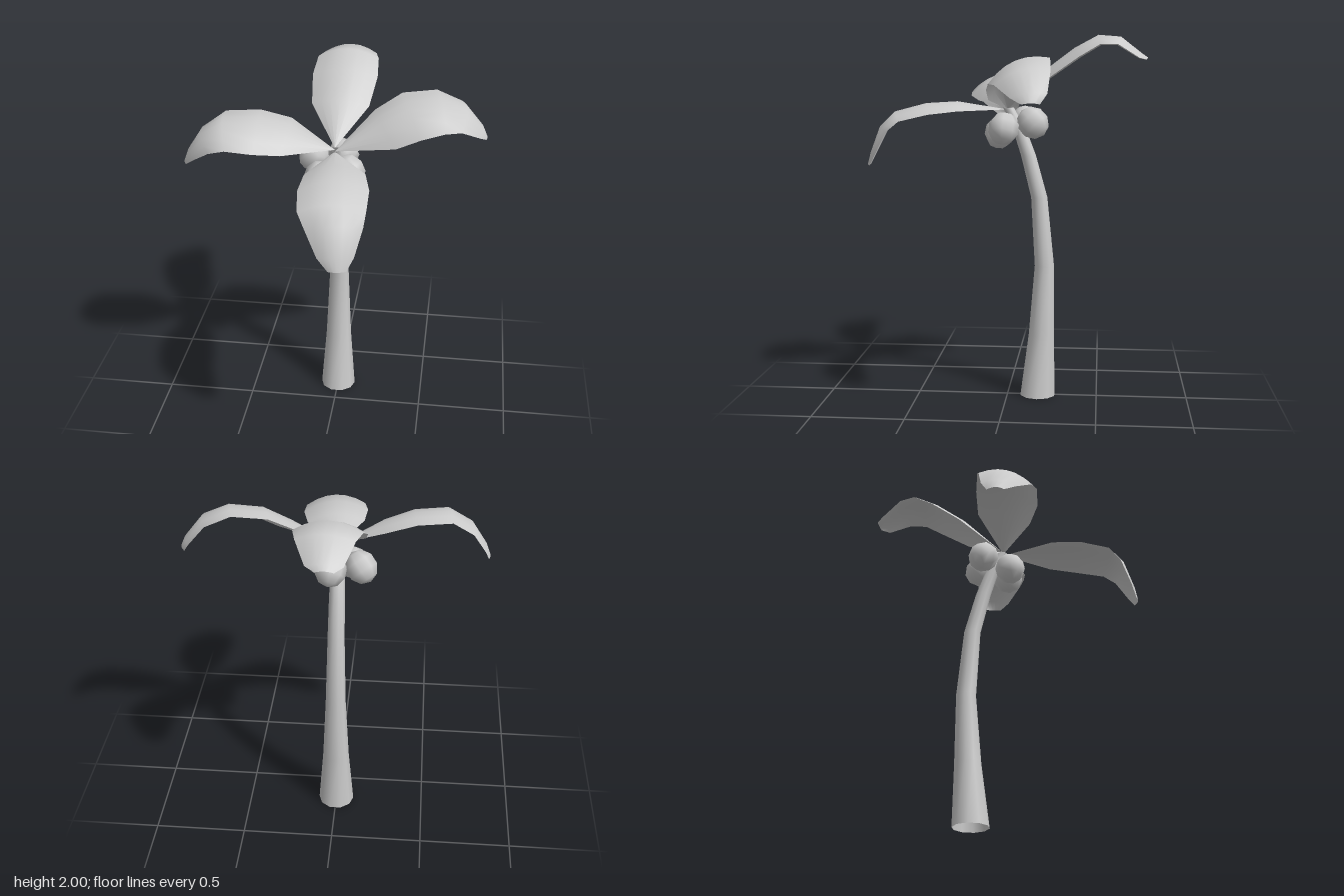
import * as THREE from 'three';

const material = new THREE.MeshStandardMaterial({ color: 0xcccccc, side: THREE.DoubleSide });

// Skin over rows of points; a closed skin joins the last column to the first.
function skin(name, rows, closed) {
  const n = rows[0].length;
  const index = [];
  for (let i = 0; i < rows.length - 1; i++) {
    for (let j = 0; j < (closed ? n : n - 1); j++) {
      const k = (j + 1) % n;
      const a = i * n + j, b = a + n, c = i * n + k, d = c + n;
      index.push(a, b, c, c, b, d);
    }
  }
  const geometry = new THREE.BufferGeometry().setFromPoints(rows.flat());
  geometry.setIndex(index);
  geometry.computeVertexNormals();
  const mesh = new THREE.Mesh(geometry, material);
  mesh.name = name;
  return mesh;
}

// Trunk: open, tapering and bending forward near the crown. [y, z, radius]
function makeTrunk() {
  const rings = [
    [0, -0.17, 0.1], [0.35, -0.19, 0.073], [0.74, -0.205, 0.055], [1.12, -0.175, 0.046],
    [1.35, -0.115, 0.042], [1.48, -0.07, 0.038], [1.61, -0.005, 0.03],
  ];
  const sides = 10;
  const rows = rings.map(([y, z, r]) => Array.from({ length: sides }, (_, j) => {
    const a = (j / sides) * Math.PI * 2;
    return new THREE.Vector3(r * Math.cos(a), y, z + r * Math.sin(a));
  }));
  return skin('trunk', rows, true);
}

// Frond: an arched blade along a spine, rolled about its length near the base.
const halfWidths = [0, 0.155, 0.178, 0.167, 0.142, 0.09, 0.045];
function makeFrond(name, points, rollDegrees) {
  const spine = points.map((p) => new THREE.Vector3(...p));
  const last = spine.length - 1;
  const run = spine[last].clone().sub(spine[0]);
  const side = new THREE.Vector3(-run.z, 0, run.x).normalize();
  const rows = spine.map((p, i) => {
    const tangent = spine[Math.min(i + 1, last)].clone().sub(spine[Math.max(i - 1, 0)]).normalize();
    const roll = THREE.MathUtils.degToRad(rollDegrees) * (1 - (i / last) ** 3);
    const across = side.clone().applyAxisAngle(tangent, roll);
    const up = across.clone().cross(tangent).normalize();
    const w = halfWidths[i];
    return [1, 0.66, 0.33, 0, -0.33, -0.66, -1].map((s) =>
      p.clone().addScaledVector(across, s * w).addScaledVector(up, -0.32 * w * s * s));
  });
  return skin(name, rows, false);
}

export function createModel() {
  const group = new THREE.Group();
  group.name = 'palmTree';
  group.add(makeTrunk());

  group.add(makeFrond('frontFrond', [
    [0, 1.6, 0], [0.035, 1.645, 0.27], [0.05, 1.635, 0.44], [0.065, 1.59, 0.61],
    [0.085, 1.51, 0.69], [0.1, 1.37, 0.74], [0.11, 1.305, 0.755]], 0));
  group.add(makeFrond('backFrond', [
    [0, 1.62, 0], [0, 1.81, -0.2], [0.005, 1.93, -0.36], [0.01, 2, -0.49],
    [0.015, 1.99, -0.61], [0.01, 1.9, -0.725], [0.005, 1.88, -0.755]], 0));
  group.add(makeFrond('leftFrond', [
    [0, 1.6, 0], [0.24, 1.755, -0.03], [0.38, 1.835, -0.055], [0.55, 1.86, -0.085],
    [0.68, 1.815, -0.12], [0.77, 1.71, -0.165], [0.79, 1.66, -0.18]], 26));
  group.add(makeFrond('rightFrond', [
    [0, 1.61, 0], [-0.23, 1.73, 0.055], [-0.39, 1.775, 0.095], [-0.57, 1.78, 0.12],
    [-0.69, 1.71, 0.12], [-0.77, 1.6, 0.09], [-0.795, 1.54, 0.075]], -20));

  // Coconuts: coarse spheres, slightly long, leaning out from the crown.
  const nut = new THREE.SphereGeometry(0.085, 8, 5);
  nut.scale(1, 1.08, 1);
  const crown = new THREE.Vector3(0, 1.68, 0);
  const places = [[0.03, 1.53, -0.14], [-0.125, 1.53, -0.095], [-0.075, 1.47, 0.05], [0.08, 1.5, 0.015]];
  places.forEach((p, i) => {
    const coconut = new THREE.Mesh(nut, material);
    coconut.name = `coconut${i + 1}`;
    coconut.position.set(...p);
    coconut.quaternion.setFromUnitVectors(
      new THREE.Vector3(0, 1, 0), crown.clone().sub(coconut.position).normalize());
    group.add(coconut);
  });
  return group;
}
